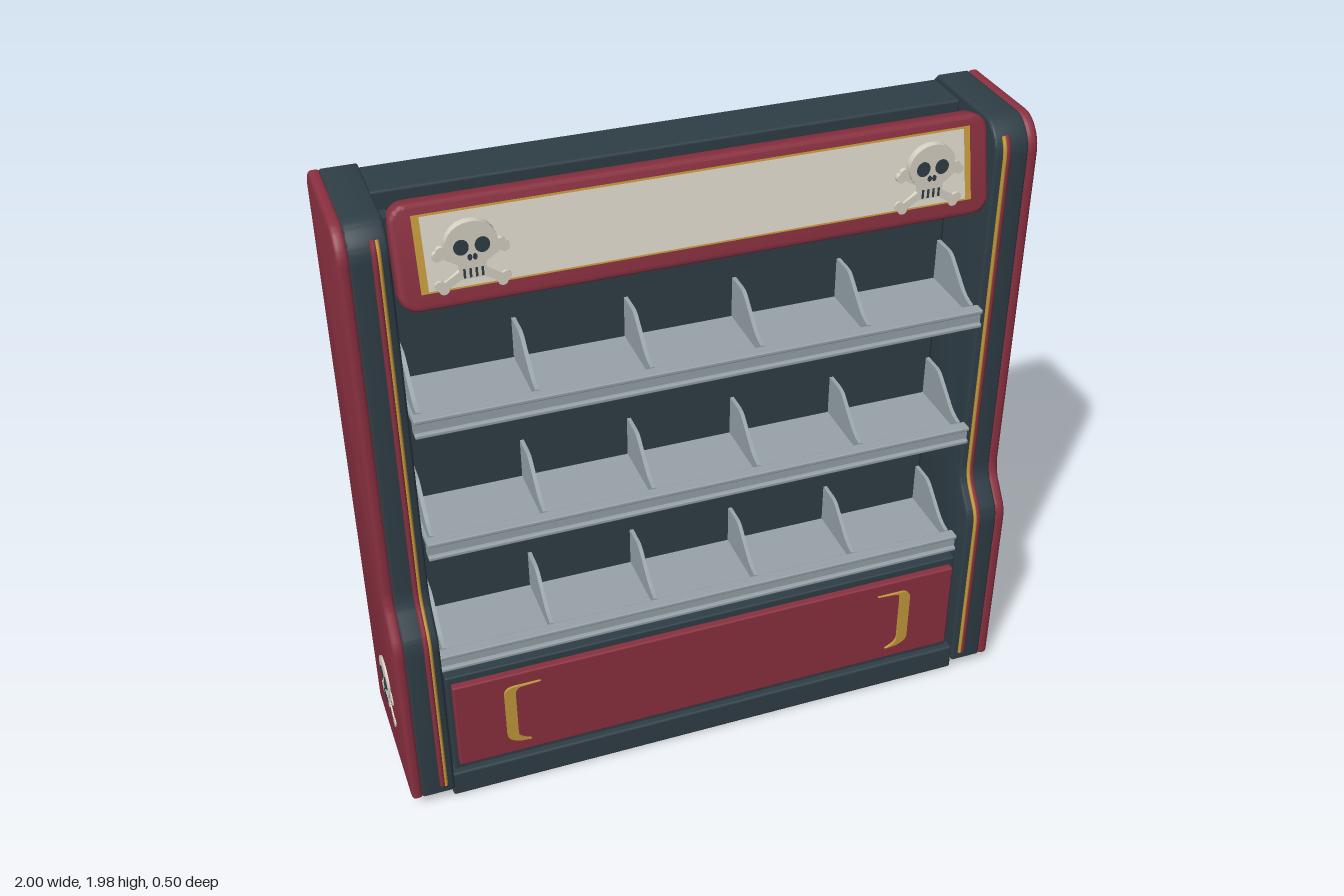
import * as THREE from 'three';
import { toCreasedNormals } from 'three/addons/utils/BufferGeometryUtils.js';
import { RoundedBoxGeometry } from 'three/addons/geometries/RoundedBoxGeometry.js';

const paint = (name, color) => {
  const m = new THREE.MeshStandardMaterial({ color });
  m.name = name;
  return m;
};

export function createModel() {
  const red = paint('red', 0x8a3040);
  const dark = paint('dark slate', 0x2f3e46);
  const grey = paint('shelf grey', 0x98a3a9);
  const gold = paint('gold', 0xc49a3a);
  const cream = paint('cream', 0xd9d3c5);

  const root = new THREE.Group();
  root.name = 'displayShelf';

  const add = (parent, name, geo, mat, x = 0, y = 0, z = 0) => {
    const m = new THREE.Mesh(geo, mat);
    m.name = name;
    m.position.set(x, y, z);
    parent.add(m);
    return m;
  };
  // Box given by its limits on each axis
  const block = (name, mat, [x0, x1], [y0, y1], [z0, z1], r = 0) => {
    const s = [x1 - x0, y1 - y0, z1 - z0];
    const geo = r ? new RoundedBoxGeometry(...s, 2, r) : new THREE.BoxGeometry(...s);
    return add(root, name, geo, mat, (x0 + x1) / 2, (y0 + y1) / 2, (z0 + z1) / 2);
  };
  // Extrusion whose total depth and outline include the bevel
  const extrude = (shape, depth, bevel = 0) => {
    const geo = new THREE.ExtrudeGeometry(shape, {
      depth: depth - 2 * bevel, curveSegments: 10, bevelEnabled: bevel > 0,
      bevelThickness: bevel, bevelSize: bevel, bevelOffset: -bevel, bevelSegments: 3,
    });
    geo.translate(0, 0, bevel);
    return toCreasedNormals(geo, 0.6);
  };
  // Extrusion of a (z, y) outline across x, starting at x0
  const sideways = (shape, x0, width, bevel) =>
    extrude(shape, width, bevel).rotateY(-Math.PI / 2).translate(x0 + width, 0, 0);

  const roundRect = (w, h, r) => {
    const s = new THREE.Shape();
    s.absarc(w / 2 - r, h / 2 - r, r, 0, Math.PI / 2);
    s.absarc(r - w / 2, h / 2 - r, r, Math.PI / 2, Math.PI);
    s.absarc(r - w / 2, r - h / 2, r, Math.PI, 1.5 * Math.PI);
    s.absarc(w / 2 - r, r - h / 2, r, 1.5 * Math.PI, 2 * Math.PI);
    return s;
  };

  // Front edge of the side panels, as (z, y), moved forward by d
  const frontEdge = (path, y0, d = 0) => {
    path.moveTo(0.245 + d, y0);
    path.lineTo(0.245 + d, 0.6);
    path.quadraticCurveTo(0.245 + d, 0.64, 0.23 + d, 0.665);
    path.lineTo(0.182 + d, 0.73);
    path.quadraticCurveTo(0.165 + d, 0.76, 0.165 + d, 0.8);
    path.lineTo(0.165 + d, 1.85);
    path.quadraticCurveTo(0.165 + d, 1.89, 0.145 + d, 1.915);
    return path;
  };
  const sideOutline = () => {
    const s = frontEdge(new THREE.Shape(), 0.04);
    s.quadraticCurveTo(0.115, 1.955, 0.075, 1.955);
    s.lineTo(-0.215, 1.955);
    s.lineTo(-0.25, 1.92);
    s.lineTo(-0.25, 0.04);
    return s;
  };

  // Flat skull with crossed bones, facing +z
  const skull = (depth) => {
    const g = new THREE.Group();
    g.name = 'skullEmblem';
    const disc = (name, mat, r, x, y, t, sy = 1, z = 0) => {
      const geo = new THREE.CylinderGeometry(r, r, t, 24).rotateX(Math.PI / 2);
      add(g, name, geo, mat, x, y, z + t / 2).scale.y = sy;
    };
    for (const s of [-1, 1]) {
      const bone = add(g, 'bone', new THREE.BoxGeometry(0.2, 0.022, depth * 0.6), cream, 0, -0.055, depth * 0.3);
      bone.rotation.z = s * 0.56;
      for (const e of [-1, 1]) {
        disc('boneKnob', cream, 0.014, e * 0.078, -0.055 + e * s * 0.055, depth * 0.6);
        disc('boneKnob', cream, 0.014, e * 0.088, -0.055 + e * s * 0.043, depth * 0.6);
      }
      disc('eye', dark, 0.02, s * 0.028, 0.01, 0.002, 1.1, depth);
      disc('nostril', dark, 0.006, s * 0.007, -0.021, 0.002, 1.5, depth);
    }
    disc('cranium', cream, 0.07, 0, 0.015, depth, 0.92);
    add(g, 'jaw', new THREE.BoxGeometry(0.07, 0.05, depth), cream, 0, -0.058, depth / 2);
    for (const x of [-0.024, -0.008, 0.008, 0.024])
      add(g, 'toothGap', new THREE.BoxGeometry(0.006, 0.026, 0.002), dark, x, -0.066, depth + 0.001);
    return g;
  };

  // Side panels: dark core, red outer skin, raised red strip and gold piping
  for (const s of [-1, 1]) {
    const span = (x0, w) => (s > 0 ? x0 : -x0 - w);
    add(root, 'sideCore', sideways(sideOutline(), span(0.855, 0.105), 0.105, 0.008), dark);
    add(root, 'sideSkin', sideways(sideOutline(), span(0.955, 0.036), 0.036, 0.012), red);
    const pipe = (name, mat, x, r, d) => {
      const pts = frontEdge(new THREE.Path(), 0.07, d).getSpacedPoints(60)
        .map((p) => new THREE.Vector3(s * x, p.y, p.x));
      add(root, name, new THREE.TubeGeometry(new THREE.CatmullRomCurve3(pts), 120, r, 8), mat);
    };
    pipe('redStrip', red, 0.893, 0.009, 0);
    pipe('goldPiping', gold, 0.883, 0.006, 0.003);

    const emblem = skull(0.008);
    emblem.position.set(s * 0.99, 0.325, 0);
    emblem.rotation.y = s * Math.PI / 2;
    root.add(emblem);
  }

  // Base, cabinet and back
  block('kickBase', dark, [-0.86, 0.86], [0, 0.09], [-0.245, 0.235], 0.008);
  block('cabinet', dark, [-0.845, 0.845], [0.085, 0.465], [-0.235, 0.212], 0.006);
  block('cabinetDoor', red, [-0.83, 0.83], [0.12, 0.44], [0.2, 0.235], 0.006);
  block('lowerBackPanel', dark, [-0.845, 0.845], [0.085, 0.347], [-0.247, -0.2], 0.005);
  block('backPanel', dark, [-0.845, 0.845], [0.349, 1.915], [-0.247, -0.065], 0.012);
  block('topRail', dark, [-0.857, 0.857], [1.86, 1.94], [-0.225, -0.065], 0.008);

  // Curved gold handles, thick on the outer side and tapering inwards
  const handle = new THREE.Shape();
  handle.moveTo(0.075, -0.115);
  handle.lineTo(0.04, -0.112);
  handle.quadraticCurveTo(0, -0.1, 0, -0.075);
  handle.lineTo(0, 0.085);
  handle.quadraticCurveTo(0, 0.115, 0.035, 0.115);
  handle.lineTo(0.115, 0.115);
  handle.lineTo(0.05, 0.11);
  handle.quadraticCurveTo(0.035, 0.105, 0.035, 0.08);
  handle.lineTo(0.035, -0.075);
  handle.quadraticCurveTo(0.035, -0.1, 0.075, -0.115);
  const handleGeo = extrude(handle, 0.008);
  add(root, 'handle', handleGeo, gold, -0.677, 0.282, 0.235);
  const rightHandle = add(root, 'handle', handleGeo.clone().scale(-1, 1, 1), gold, 0.677, 0.282, 0.235);
  // Restore corner order after mirroring
  const n = rightHandle.geometry.attributes.position.count;
  rightHandle.geometry.setIndex(Array.from({ length: n / 3 }, (_, i) => [3 * i, 3 * i + 2, 3 * i + 1]).flat());

  // Shelves with price rails, dividers and light strips
  const divider = new THREE.Shape();
  divider.moveTo(-0.065, 0);
  divider.lineTo(0.165, 0);
  divider.lineTo(0.165, 0.03);
  divider.quadraticCurveTo(0.125, 0.035, 0.1, 0.058);
  divider.lineTo(0.03, 0.118);
  divider.quadraticCurveTo(0.015, 0.13, -0.005, 0.13);
  divider.lineTo(-0.065, 0.13);
  [0.49, 0.915, 1.335].forEach((y, i) => {
    block('shelf', grey, [-0.845, 0.845], [y + 0.005, y + 0.025], [-0.07, 0.17]);
    block('priceRail', grey, [-0.85, 0.85], [y, y + 0.05], [0.165, 0.19]);
    for (const e of [-0.006, 0.041])
      block('priceRailLip', grey, [-0.85, 0.85], [y + e, y + e + 0.013], [0.165, 0.203], 0.004);
    block('shelfTray', dark, [-0.845, 0.845], [y - 0.03, y + 0.004], [-0.07, 0.16], 0.004);
    if (i > 0) block('lightStrip', gold, [-0.79, 0.79], [y - 0.05, y - 0.03], [0.11, 0.13]);
    for (let k = 0; k < 6; k++)
      add(root, 'divider', sideways(divider, -0.836 + k * 0.332, 0.012), grey, 0, y + 0.025, 0);
  });

  // Header sign, leaning back
  const header = new THREE.Group();
  header.name = 'headerSign';
  header.position.set(0, 1.845, 0.143);
  header.rotation.x = -0.228;
  root.add(header);
  add(header, 'headerFrame', extrude(roundRect(1.69, 0.287, 0.05), 0.067, 0.012), red, 0, -0.005, -0.067);
  add(header, 'headerTrim', new THREE.BoxGeometry(1.575, 0.209, 0.004), gold, 0, 0.003, 0.001);
  add(header, 'headerPanel', new THREE.BoxGeometry(1.535, 0.198, 0.004), cream, 0, 0.003, 0.004);
  for (const s of [-1, 1]) {
    block('headerBracket', dark, s > 0 ? [0.835, 0.86] : [-0.86, -0.835], [1.84, 1.94], [0.04, 0.09]);
    const emblem = skull(0.022);
    emblem.position.set(s * 0.65, 1.862, 0.16);
    root.add(emblem);
  }

  return root;
}
